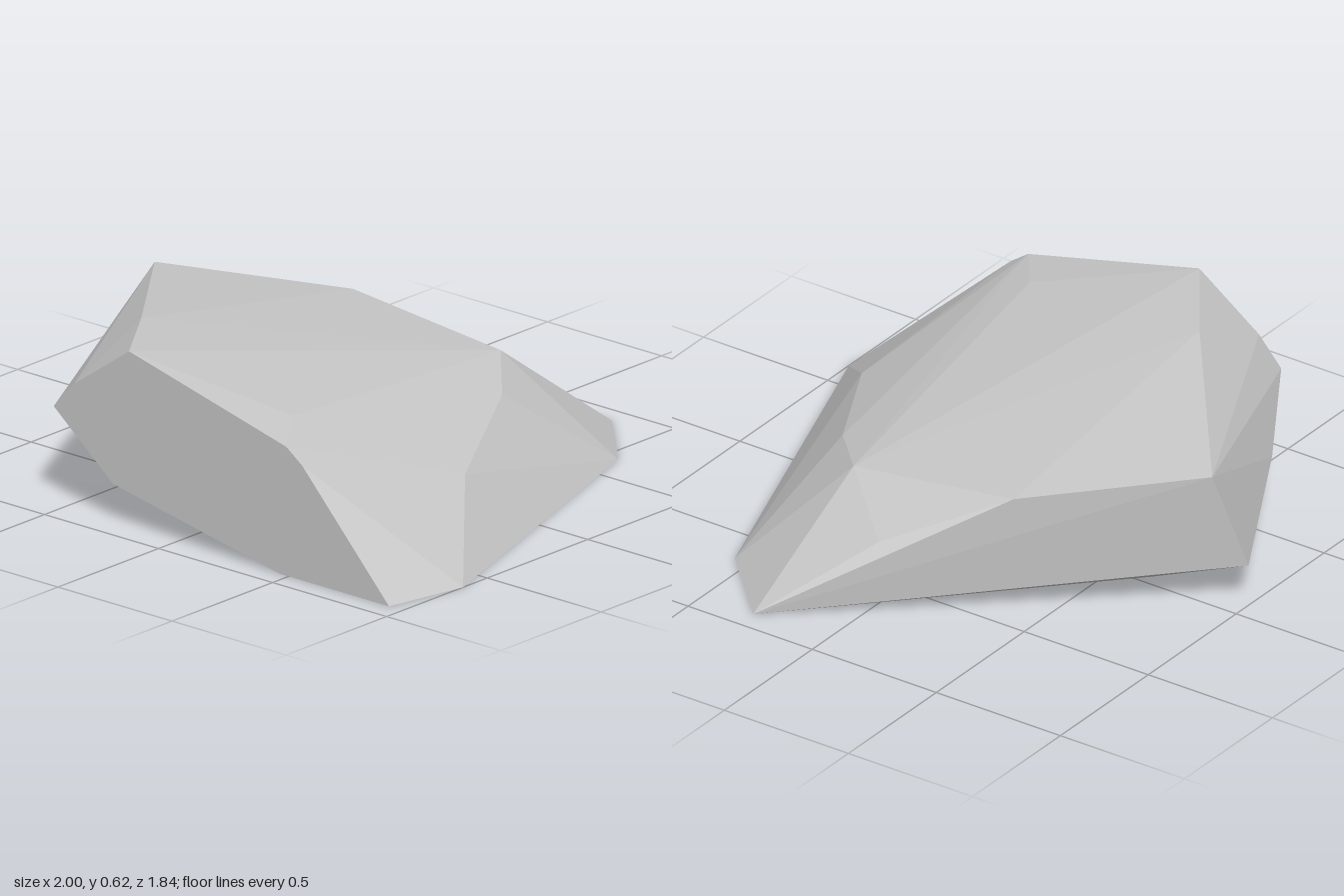
import * as THREE from 'three';
import { ConvexGeometry } from 'three/addons/geometries/ConvexGeometry.js';

export function createModel() {
  const group = new THREE.Group();
  group.name = 'rock';
  const stone = new THREE.MeshStandardMaterial({ color: 0xc7c7c7 });
  stone.name = 'light grey stone';

  // Flat cut face at the front: outline as [x, y]
  const cutZ = 0.92;
  const cutFace = [
    [-0.2, 0.62], [0.49, 0.45], [0.56, 0.4], [0.94, 0],
    [0.46, 0], [-0.27, 0.14], [-0.53, 0.35], [-0.44, 0.45],
  ].map(([x, y]) => [x, y, cutZ]);

  // Top ridge and slopes
  const top = [
    [-0.42, 0.6, 0.61], [-0.925, 0.505, -0.03], [-0.4, 0.43, -0.42],
    [0.23, 0.36, -0.44], [-0.02, 0.25, -0.65], [0.43, 0.31, -0.22],
    [0.7, 0.23, 0.27], [0.35, 0.475, 0.73],
  ];

  // Lower rim, tilted up towards the right-hand corner
  const rim = [
    [1, 0, 0.62], [0.56, 0, -0.65], [0.295, 0, -0.92], [0.05, 0, -0.66],
    [-0.7, 0.07, -0.06], [-1, 0.15, 0.07], [-0.755, 0.26, 0.55],
  ];

  // Faceted boulder wrapped around all the corners
  const corners = [...cutFace, ...top, ...rim].map((p) => new THREE.Vector3(...p));
  const boulder = new THREE.Mesh(new ConvexGeometry(corners), stone);
  boulder.name = 'boulder';
  group.add(boulder);
  return group;
}
